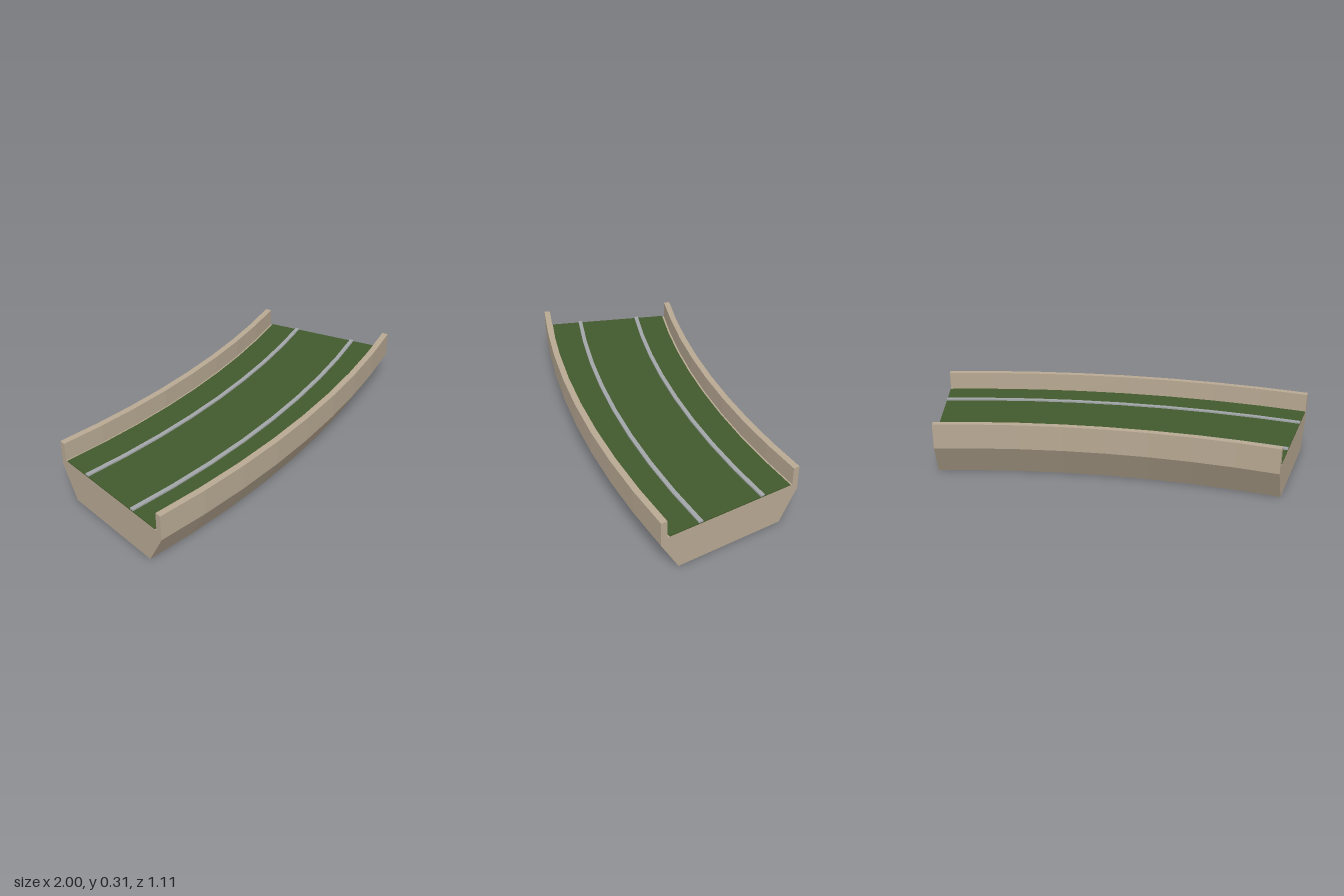
import * as THREE from 'three';

const SWEEP = Math.PI / 8;   // 22.5 degree bend
const STEPS = 8;
const CENTRE_X = -1, CENTRE_Z = -4.673; // bend centre
const INNER = 4.455, OUTER = 5.226;     // radii of the wall faces

// Extrudes a [radius, height] section, then bends it round the centre.
function bend(name, section, material) {
  const shape = new THREE.Shape(section.map(([r, y]) => new THREE.Vector2(r, y)));
  const geometry = new THREE.ExtrudeGeometry(shape, { depth: SWEEP, steps: STEPS, bevelEnabled: false });
  const p = geometry.attributes.position;
  for (let i = 0; i < p.count; i++) {
    const r = p.getX(i), a = SWEEP - p.getZ(i);
    p.setXYZ(i, CENTRE_X + r * Math.sin(a), p.getY(i), CENTRE_Z + r * Math.cos(a));
  }
  geometry.computeVertexNormals();
  const mesh = new THREE.Mesh(geometry, material);
  mesh.name = name;
  return mesh;
}

function strip(name, r0, r1, y0, y1, material) {
  return bend(name, [[r0, y0], [r1, y0], [r1, y1], [r0, y1]], material);
}

export function createModel() {
  const concrete = new THREE.MeshStandardMaterial({ name: 'concrete', color: 0xb8a993 });
  const green = new THREE.MeshStandardMaterial({ name: 'green', color: 0x42592c });
  const grey = new THREE.MeshStandardMaterial({ name: 'grey', color: 0xa2a6a8 });

  const model = new THREE.Group();
  model.name = 'curvedTrackSection';

  // Trough with tapered base and two side walls
  const taper = 0.095, wall = 0.033, waist = 0.172, floor = 0.207, top = 0.305;
  model.add(bend('trough', [
    [INNER + taper, 0], [OUTER - taper, 0],
    [OUTER, waist], [OUTER, top], [OUTER - wall, top], [OUTER - wall, floor],
    [INNER + wall, floor], [INNER + wall, top], [INNER, top], [INNER, waist],
  ], concrete));

  // Green track bed
  model.add(strip('trackBed', INNER + 0.045, OUTER - 0.045, floor, 0.212, green));

  // Pair of guide rails
  [['innerRail', 4.664], ['outerRail', 5.012]].forEach(([name, r]) => {
    model.add(strip(name, r - 0.011, r + 0.011, 0.212, 0.22, grey));
  });

  return model;
}
